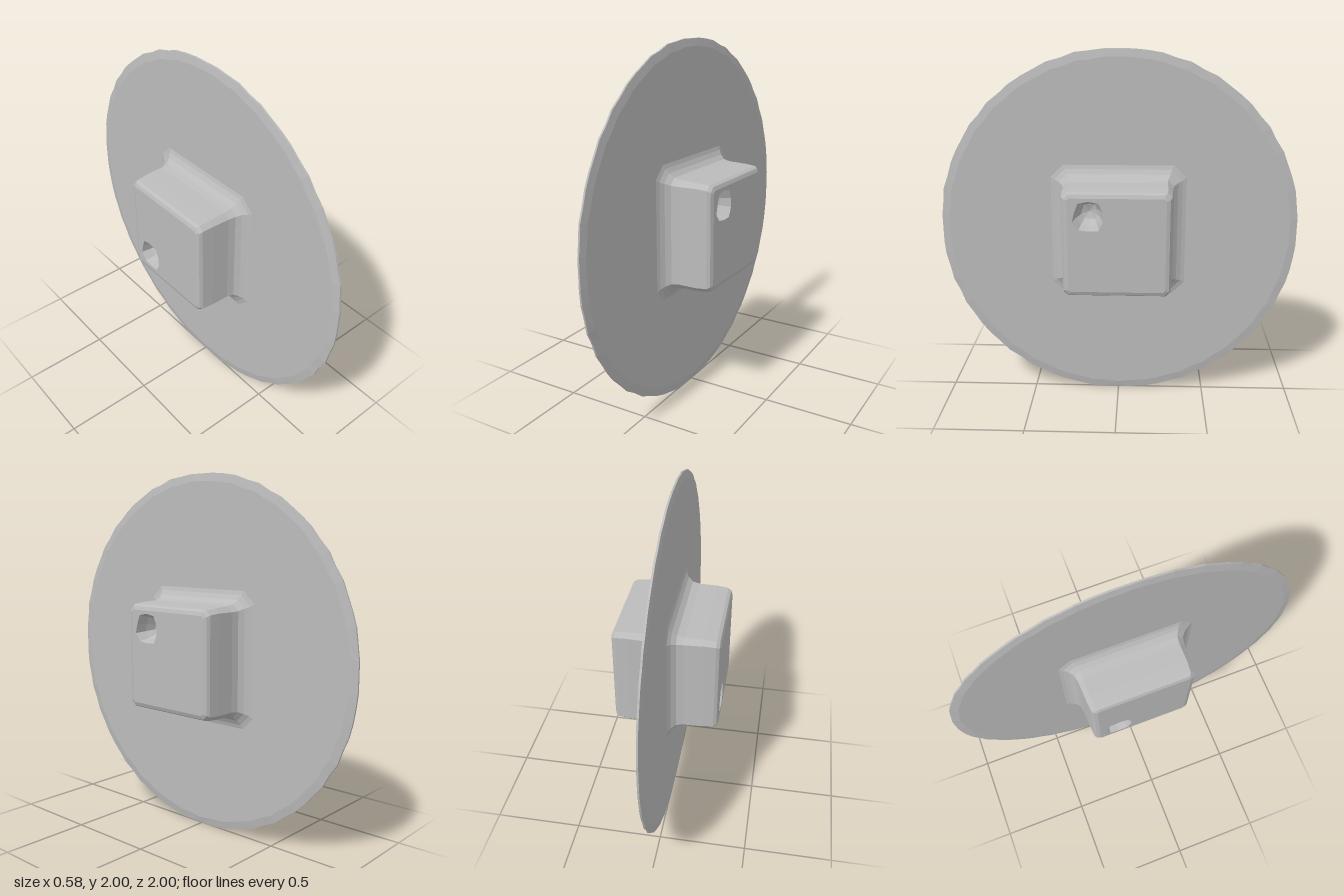
import * as THREE from 'three';

const grey = new THREE.MeshStandardMaterial({ color: 0xbbbbbb });

// Faceted skin over rings of equal point count; the last ring may be a single tip.
function loft(rings) {
  const p = [];
  const tri = (...vs) => vs.forEach(v => p.push(v.x, v.y, v.z));
  for (let r = 0; r < rings.length - 1; r++) {
    const a = rings[r], b = rings[r + 1], n = Math.max(a.length, b.length);
    for (let i = 0; i < n; i++) {
      const j = (i + 1) % n;
      if (a.length === 1) tri(a[0], b[j], b[i]);
      else if (b.length === 1) tri(a[i], a[j], b[0]);
      else { tri(a[i], a[j], b[j]); tri(a[i], b[j], b[i]); }
    }
  }
  const g = new THREE.BufferGeometry();
  g.setAttribute('position', new THREE.Float32BufferAttribute(p, 3));
  g.computeVertexNormals();
  return g;
}

function mesh(name, geometry) {
  const m = new THREE.Mesh(geometry, grey);
  m.name = name;
  return m;
}

// Square ring with chamfered corners, h = half size, c = chamfer.
function square(x, h, c) {
  const k = h - c;
  return [[h, -k], [h, k], [k, h], [-k, h], [-h, k], [-h, -k], [-k, -h], [k, -h]]
    .map(([y, z]) => new THREE.Vector3(x, y, z));
}

// Slightly ragged round ring, flattened at the four extremes.
function discRing(x, radius) {
  const lim = v => THREE.MathUtils.clamp(v, -1, 1);
  return Array.from({ length: 80 }, (_, i) => {
    const a = i / 80 * Math.PI * 2, r = radius + 0.004 * Math.sin(i * 2.7);
    return new THREE.Vector3(x, lim(r * Math.cos(a)), lim(r * Math.sin(a)));
  });
}

// Irregular ring of the dent.
function dentRing(x, y, z, radius) {
  return Array.from({ length: 10 }, (_, i) => {
    const a = i / 10 * Math.PI * 2, r = radius * (1 + 0.1 * Math.sin(i * 2.3));
    return new THREE.Vector3(x, y + r * Math.cos(a), z + r * Math.sin(a));
  });
}

// One half of the hub facing +x, with a dent near a corner of its face.
function hubHalf(name, dentY) {
  const half = new THREE.Group();
  half.name = name;
  const dentZ = 0.15, faceX = 0.29;

  // Flared foot, straight sides and bevelled edge: x, half size, corner chamfer
  const profile = [
    [0.012, 0.38, 0.07], [0.02, 0.355, 0.06], [0.035, 0.33, 0.045], [0.06, 0.308, 0.035],
    [0.1, 0.3, 0.03], [0.2, 0.296, 0.025], [0.265, 0.291, 0.025], [0.282, 0.282, 0.025],
    [faceX, 0.262, 0.012],
  ];
  const rings = profile.map(([x, h, c]) => square(x, h, c));
  half.add(mesh('hubSides', loft(rings)));

  // Flat end face with the dent opening
  const rim = dentRing(faceX, dentY, dentZ, 0.085);
  const flat = ring => ring.map(v => new THREE.Vector2(v.y, v.z));
  const shape = new THREE.Shape(flat(rings[rings.length - 1]));
  shape.holes.push(new THREE.Path(flat(rim)));
  const face = new THREE.ShapeGeometry(shape);
  face.applyMatrix4(new THREE.Matrix4().makeBasis(
    new THREE.Vector3(0, 1, 0), new THREE.Vector3(0, 0, 1), new THREE.Vector3(1, 0, 0)));
  face.translate(faceX, 0, 0);
  half.add(mesh('hubFace', face));

  // Dent bowl
  half.add(mesh('dent', loft([
    rim,
    dentRing(faceX - 0.06, dentY, dentZ, 0.07),
    dentRing(faceX - 0.11, dentY, dentZ, 0.045),
    [new THREE.Vector3(faceX - 0.125, dentY, dentZ)],
  ])));
  return half;
}

export function createModel() {
  const model = new THREE.Group();
  model.name = 'discWithHub';
  const body = new THREE.Group();
  body.name = 'body';
  body.position.y = 1;
  model.add(body);

  // Thin upright disc with a tapered rim
  body.add(mesh('disc', loft([
    [new THREE.Vector3(-0.013, 0, 0)],
    discRing(-0.013, 0.96), discRing(-0.005, 1.005),
    discRing(0.005, 1.005), discRing(0.013, 0.96),
    [new THREE.Vector3(0.013, 0, 0)],
  ])));

  // Hub halves, dents in diagonally opposite corners
  body.add(hubHalf('leftHub', 0.16));
  const right = hubHalf('rightHub', -0.16);
  right.rotation.y = Math.PI;
  body.add(right);
  return model;
}
